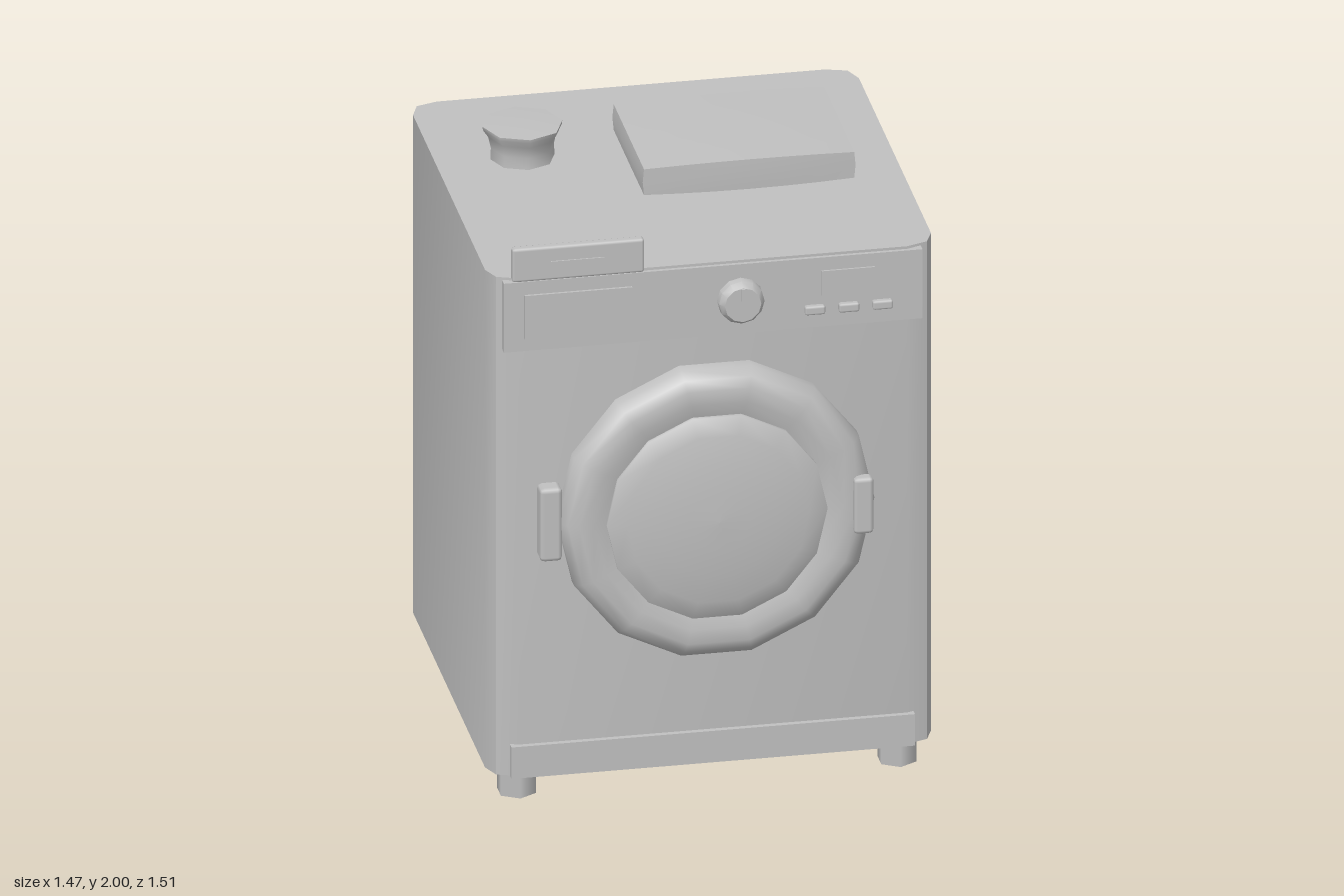
import * as THREE from 'three';
import { toCreasedNormals } from 'three/addons/utils/BufferGeometryUtils.js';
import { RoundedBoxGeometry } from 'three/addons/geometries/RoundedBoxGeometry.js';

export function createModel() {
  const model = new THREE.Group();
  model.name = 'washingMachine';
  const grey = new THREE.MeshStandardMaterial({ color: 0xc0c0c0, side: THREE.DoubleSide });
  grey.name = 'light grey';

  function add(name, geometry, x = 0, y = 0, z = 0) {
    const mesh = new THREE.Mesh(geometry, grey);
    mesh.name = name;
    mesh.position.set(x, y, z);
    model.add(mesh);
    return mesh;
  }
  // Box given by its limits, with optional chamfered edges
  function block(name, x0, x1, y0, y1, z0, z1, bevel = 0) {
    const w = x1 - x0, h = y1 - y0, d = z1 - z0;
    const geo = bevel ? new RoundedBoxGeometry(w, h, d, 1, bevel) : new THREE.BoxGeometry(w, h, d);
    return add(name, geo, (x0 + x1) / 2, (y0 + y1) / 2, (z0 + z1) / 2);
  }
  // Round part turned about the z axis, profile as [radius, z]
  function turned(name, profile, sides, x, y) {
    const points = profile.map(([r, z]) => new THREE.Vector2(r, z));
    const geo = new THREE.LatheGeometry(points, sides, Math.PI / 2);
    geo.rotateX(Math.PI / 2);
    return add(name, geo, x, y, 0);
  }

  // Cabinet: walls with rounded corners, open underneath
  const bottom = 0.1, top = 1.875;
  const half = [[0.64, 0.625], [0.71, 0.6], [0.735, 0.54], [0.735, -0.67], [0.71, -0.735], [0.64, -0.757]];
  const outline = [...half, ...half.map(([x, z]) => [-x, z]).reverse()];
  const positions = [];
  outline.forEach(([ax, az], i) => {
    const [bx, bz] = outline[(i + 1) % outline.length];
    positions.push(ax, bottom, az, bx, bottom, bz, bx, top, bz);
    positions.push(ax, bottom, az, bx, top, bz, ax, top, az);
  });
  const walls = new THREE.BufferGeometry();
  walls.setAttribute('position', new THREE.Float32BufferAttribute(positions, 3));
  add('cabinetWalls', toCreasedNormals(walls, 0.6));
  const lid = new THREE.ShapeGeometry(new THREE.Shape(outline.map(([x, z]) => new THREE.Vector2(x, -z))));
  lid.rotateX(-Math.PI / 2);
  add('cabinetTop', lid, 0, top, 0);

  // Feet
  for (const x of [-0.627, 0.627]) {
    for (const z of [0.518, -0.552]) {
      add('foot', new THREE.CylinderGeometry(0.067, 0.067, 0.11, 6), x, 0.055, z);
    }
  }

  // Plinth and control panel
  block('plinth', -0.668, 0.662, 0.1, 0.212, 0.6, 0.643);
  block('controlPanel', -0.692, 0.688, 1.62, 1.866, 0.605, 0.638);
  block('detergentDrawer', -0.625, -0.27, 1.665, 1.82, 0.63, 0.647);
  block('display', 0.355, 0.53, 1.733, 1.82, 0.63, 0.645);
  for (const x of [0.332, 0.444, 0.555]) {
    block('button', x - 0.034, x + 0.034, 1.669, 1.701, 0.63, 0.656, 0.008);
  }
  const knob = turned('programKnob', [[0.077, 0.63], [0.075, 0.665], [0.06, 0.687], [0, 0.687]], 12, 0.087, 1.742);
  knob.geometry = toCreasedNormals(knob.geometry, 0.6);
  block('knobMark', 0.081, 0.093, 1.76, 1.8, 0.683, 0.694);

  // Door with a domed window
  turned('doorRing', [[0.521, 0.61], [0.521, 0.665], [0.495, 0.695], [0.46, 0.712], [0.41, 0.71], [0.364, 0.698], [0.34, 0.69]], 14, 0.003, 1.008);
  turned('doorWindow', [[0.364, 0.695], [0.364, 0.712], [0.3, 0.73], [0.2, 0.745], [0.1, 0.753], [0, 0.756]], 14, -0.003, 1.006);
  block('doorHinge', -0.58, -0.505, 0.877, 1.138, 0.595, 0.68, 0.016);
  block('doorHandle', 0.445, 0.511, 0.908, 1.107, 0.68, 0.73, 0.014);

  // Upright plate on the front edge of the top, with a bar through it
  block('uprightPlate', -0.664, -0.228, 1.865, 1.985, 0.607, 0.64, 0.01);
  block('uprightPlateBar', -0.538, -0.362, 1.91, 1.934, 0.602, 0.645);

  // Folded pack on top: a box with gently bulging faces
  const W = 0.692, H = 0.09, D = 0.508;
  const pack = new THREE.BoxGeometry(W, H, D, 6, 2, 6);
  const p = pack.attributes.position;
  for (let i = 0; i < p.count; i++) {
    const u = 2 * p.getX(i) / W, v = 2 * p.getY(i) / H, w = 2 * p.getZ(i) / D;
    const bulge = (a, b) => (1 - a * a * 0.9) * (1 - b * b * 0.3);
    p.setXYZ(i,
      p.getX(i) + u * 0.007 * bulge(v, w),
      p.getY(i) + v * 0.011 * bulge(u, w),
      p.getZ(i) + w * 0.007 * bulge(u, v));
  }
  add('foldedPack', toCreasedNormals(pack, 0.6), 0.222, 1.932, -0.155);

  // Cup with a flared rim
  const cupProfile = [[0.106, top], [0.104, 1.915], [0.113, 1.955], [0.13, 1.98], [0.132, 1.993], [0, 2]];
  const cup = new THREE.LatheGeometry(cupProfile.map(([r, y]) => new THREE.Vector2(r, y)), 8);
  add('cup', toCreasedNormals(cup, 0.9), -0.449, 0, -0.29);

  return model;
}
